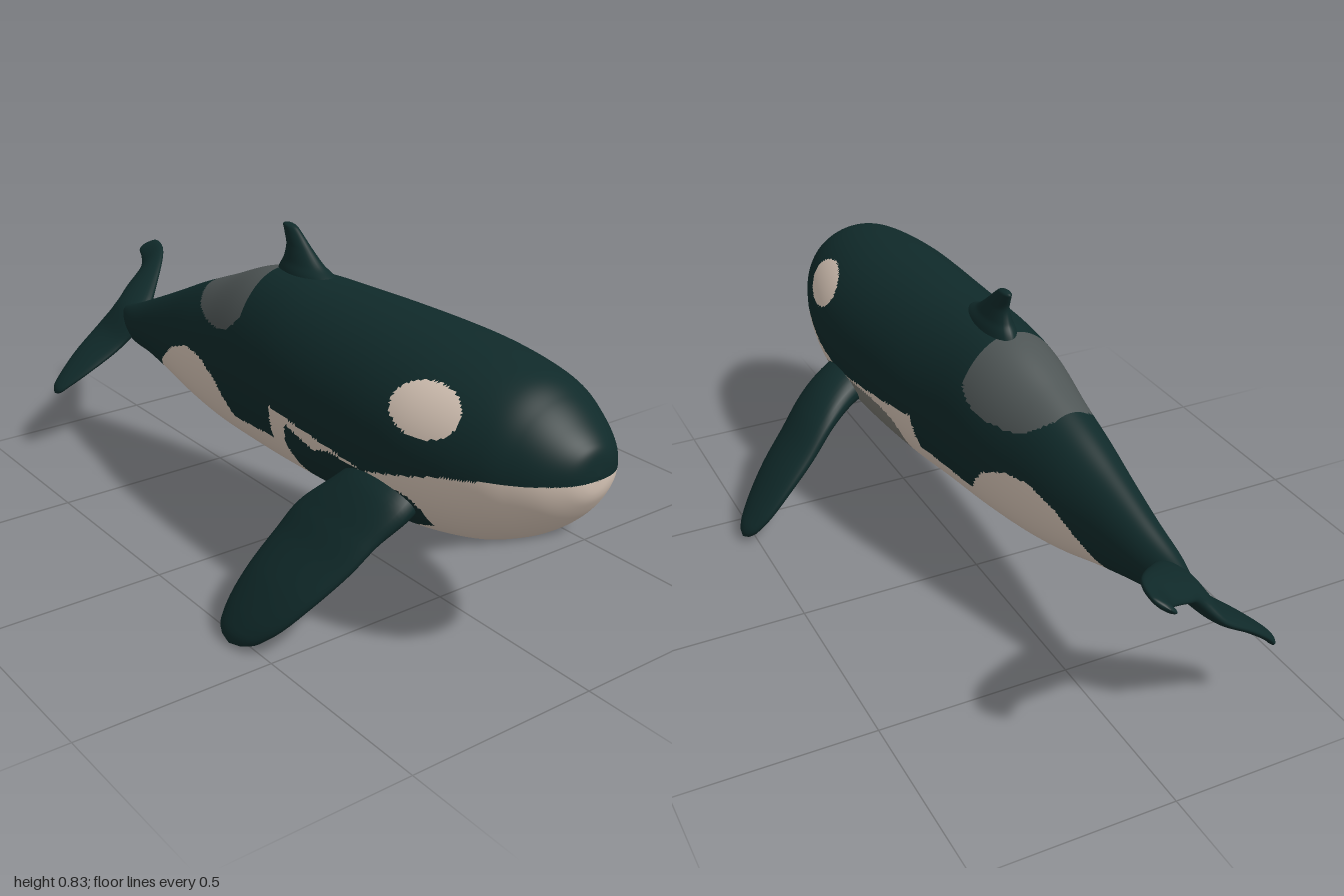
import * as THREE from 'three';

const mat = (name, color) => Object.assign(new THREE.MeshStandardMaterial({ color }), { name });

// Piecewise linear lookup in [x, y] pairs
function lookup(table, x) {
  if (x <= table[0][0]) return table[0][1];
  for (let i = 1; i < table.length; i++) {
    const [x0, y0] = table[i - 1], [x1, y1] = table[i];
    if (x <= x1) return y0 + (y1 - y0) * (x - x0) / (x1 - x0);
  }
  return table[table.length - 1][1];
}

// Closed tube of rings; paint(x, y, z) picks the material of each triangle
function skin(nu, nv, ring, paint = () => 0, colours = 1) {
  const pos = [], buckets = Array.from({ length: colours }, () => []);
  for (let i = 0; i <= nu; i++) {
    const at = ring(i / nu);
    for (let j = 0; j < nv; j++) pos.push(...at(j / nv * Math.PI * 2).toArray());
  }
  const tri = (...t) => {
    const mid = k => (pos[t[0] * 3 + k] + pos[t[1] * 3 + k] + pos[t[2] * 3 + k]) / 3;
    buckets[paint(mid(0), mid(1), mid(2))].push(...t);
  };
  for (let i = 0; i < nu; i++) for (let j = 0; j < nv; j++) {
    const a = i * nv + j, b = i * nv + (j + 1) % nv;
    tri(a, b, a + nv);
    tri(b, b + nv, a + nv);
  }
  const g = new THREE.BufferGeometry();
  g.setAttribute('position', new THREE.Float32BufferAttribute(pos, 3));
  g.setIndex(buckets.flat());
  let start = 0;
  buckets.forEach((b, m) => { g.addGroup(start, b.length, m); start += b.length; });
  g.computeVertexNormals();
  return g;
}

const spline = pts => new THREE.CatmullRomCurve3(pts, false, 'catmullrom');

// Blade lofted through rows of [leading point, trailing point, half thickness]
function blade(rows, roundStart = false) {
  const lead = spline(rows.map(r => new THREE.Vector3(...r[0])));
  const trail = spline(rows.map(r => new THREE.Vector3(...r[1])));
  const thick = rows.map((r, i) => [i / (rows.length - 1), r[2]]);
  const centre = t => lead.getPoint(t).add(trail.getPoint(t)).multiplyScalar(0.5);
  return skin(48, 32, t => {
    const c = centre(t), u = lead.getPoint(t).sub(c);
    const span = centre(Math.min(1, t + 0.02)).sub(centre(Math.max(0, t - 0.02)));
    const n = span.cross(u).normalize().multiplyScalar(lookup(thick, t));
    // Ends close in a rounded tip
    const d = Math.min(1, (1 - t) / 0.08, roundStart ? t / 0.08 : 1);
    const s = Math.sqrt(Math.max(0, 1 - (1 - d) ** 2));
    return a => c.clone().addScaledVector(u, s * Math.cos(a)).addScaledVector(n, s * Math.sin(a));
  });
}

// Body stations: x, top y, bottom y, centre z, half width
const stations = [
  [-0.80, 0.435, 0.395, 0.13, 0.015], [-0.72, 0.46, 0.345, 0.13, 0.04], [-0.62, 0.502, 0.325, 0.118, 0.058],
  [-0.50, 0.555, 0.295, 0.107, 0.08], [-0.38, 0.61, 0.262, 0.095, 0.105], [-0.25, 0.662, 0.238, 0.083, 0.128],
  [-0.10, 0.72, 0.228, 0.07, 0.158], [0.05, 0.737, 0.225, 0.06, 0.18], [0.20, 0.737, 0.226, 0.047, 0.202],
  [0.35, 0.736, 0.231, 0.037, 0.216], [0.50, 0.733, 0.242, 0.03, 0.226], [0.62, 0.728, 0.26, 0.027, 0.225],
  [0.74, 0.718, 0.29, 0.026, 0.205], [0.83, 0.702, 0.33, 0.025, 0.177], [0.89, 0.672, 0.367, 0.023, 0.148],
  [0.94, 0.637, 0.41, 0.021, 0.116], [0.975, 0.608, 0.455, 0.02, 0.08], [0.993, 0.583, 0.49, 0.02, 0.045],
  [1.0, 0.535, 0.535, 0.02, 0],
];

// Upper edge of the pale underside, and edges of the dark patch round the left flipper
const bellyLine = [[-0.62, 0.28], [-0.55, 0.32], [-0.5, 0.37], [-0.42, 0.43], [-0.33, 0.462], [-0.25, 0.455],
  [-0.17, 0.42], [-0.12, 0.365], [-0.1, 0.335], [0.11, 0.355], [0.12, 0.45], [0.25, 0.44], [0.5, 0.42],
  [0.62, 0.455], [0.75, 0.495], [0.88, 0.515], [1, 0.525]];
const patchTop = [[0.17, 0.37], [0.19, 0.425], [0.3, 0.395], [0.37, 0.42], [0.64, 0.41], [0.67, 0.38]];
const patchLow = [[0.17, 0.36], [0.19, 0.27], [0.33, 0.245], [0.5, 0.25], [0.62, 0.31], [0.67, 0.33]];

const DARK = 0, PALE = 1, SADDLE = 2, SHADE = 3;
function bodyPaint(x, y, z) {
  if (((x - 0.665) / 0.097) ** 2 + ((y - 0.615) / 0.055) ** 2 < 1) return PALE;
  const s = Math.abs(x + 0.195) / 0.135;
  if (s < 1 && y > 0.56 + 0.06 * s ** 3) return SADDLE;
  if (y > lookup(bellyLine, x)) return DARK;
  if (z > 0.04) {
    if (x > 0.17 && x < 0.67 && y < lookup(patchTop, x) && y > lookup(patchLow, x)) return DARK;
  } else if (Math.abs((x - 0.43) / 0.23) ** 3 + Math.abs((y - 0.335) / 0.085) ** 3 < 1) return SHADE;
  return PALE;
}

export function createModel() {
  const group = new THREE.Group();
  const dark = mat('dark skin', 0x102a2a);
  const colours = [dark, mat('pale skin', 0xdccabb), mat('saddle grey', 0x4f5656), mat('patch grey', 0x7b7a72)];
  const add = (name, geometry, material) => {
    const mesh = new THREE.Mesh(geometry, material);
    mesh.name = name;
    group.add(mesh);
  };

  // Body
  const heights = spline(stations.map(s => new THREE.Vector3(s[0], s[1], s[2])));
  const widths = spline(stations.map(s => new THREE.Vector3(s[0], s[3], s[4])));
  add('body', skin(270, 180, t => {
    const h = heights.getPoint(t), w = widths.getPoint(t);
    return a => new THREE.Vector3(h.x, (h.y + h.z) / 2 + (h.y - h.z) / 2 * Math.cos(a), w.y + w.z * Math.sin(a));
  }, bodyPaint, 4), colours);

  // Flippers, each row: y, z, rear x, front x, half thickness
  const flipper = rows => blade(rows.map(([y, z, x0, x1, t]) => [[x1, y, z], [x0, y, z], t]));
  add('frontFlipper', flipper([
    [0.40, 0.17, 0.43, 0.64, 0.06], [0.36, 0.24, 0.40, 0.65, 0.055], [0.30, 0.305, 0.345, 0.625, 0.042],
    [0.235, 0.36, 0.325, 0.60, 0.036], [0.155, 0.43, 0.31, 0.555, 0.032], [0.08, 0.485, 0.305, 0.50, 0.026],
    [0.01, 0.53, 0.32, 0.42, 0.018]]), dark);
  add('backFlipper', flipper([
    [0.40, -0.12, 0.43, 0.61, 0.06], [0.37, -0.20, 0.40, 0.59, 0.05], [0.32, -0.27, 0.37, 0.575, 0.04],
    [0.24, -0.34, 0.35, 0.555, 0.035], [0.165, -0.41, 0.34, 0.53, 0.03], [0.09, -0.475, 0.343, 0.49, 0.025],
    [0.02, -0.535, 0.37, 0.43, 0.018]]), dark);

  // Dorsal fin, each row: y, rear x, front x, half thickness
  add('dorsalFin', blade([
    [0.66, -0.11, 0.20, 0.06], [0.725, -0.085, 0.145, 0.045], [0.755, -0.066, 0.085, 0.032],
    [0.79, -0.057, 0.037, 0.021], [0.82, -0.068, 0.0, 0.015], [0.842, -0.078, -0.03, 0.011],
  ].map(([y, x0, x1, t]) => [[x1, y, 0.055], [x0, y, 0.055], t])), dark);

  // Tail flukes, tip to tip
  add('tailFlukes', blade([
    [[-0.98, 0.555, -0.07], [-1.0, 0.53, -0.03], 0.008],
    [[-0.945, 0.56, -0.075], [-0.965, 0.515, -0.025], 0.011],
    [[-0.88, 0.548, -0.052], [-0.92, 0.485, 0.005], 0.015],
    [[-0.79, 0.495, 0.022], [-0.885, 0.45, 0.075], 0.02],
    [[-0.70, 0.42, 0.12], [-0.86, 0.415, 0.125], 0.03],
    [[-0.72, 0.34, 0.19], [-0.88, 0.355, 0.18], 0.021],
    [[-0.75, 0.27, 0.285], [-0.868, 0.295, 0.265], 0.016],
    [[-0.78, 0.225, 0.345], [-0.85, 0.235, 0.335], 0.012],
    [[-0.80, 0.2, 0.37], [-0.845, 0.2, 0.36], 0.009]], true), dark);

  return group;
}
